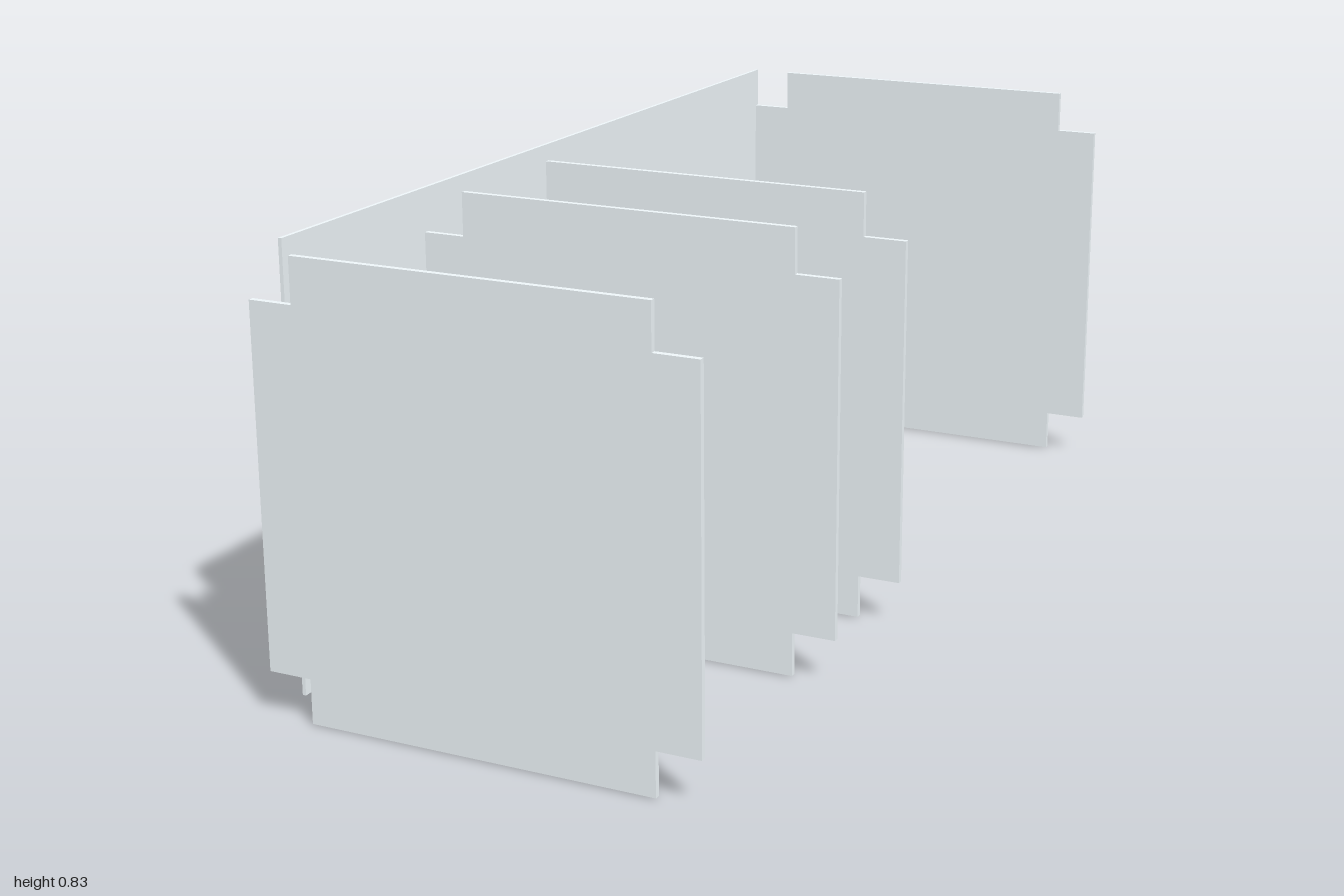
import * as THREE from 'three';

const THICK = 0.011;
const material = new THREE.MeshStandardMaterial({ color: 0xedf5f8, flatShading: true });

// Square plate with a square notch cut from every corner
function notchedPlate(half, inner) {
  const points = [];
  for (let i = 0; i < 4; i++) {
    const c = Math.round(Math.cos(i * Math.PI / 2));
    const s = Math.round(Math.sin(i * Math.PI / 2));
    for (const [x, y] of [[half, -inner], [half, inner], [inner, inner]]) {
      points.push(new THREE.Vector2(x * c - y * s, x * s + y * c));
    }
  }
  const geometry = new THREE.ExtrudeGeometry(new THREE.Shape(points), { depth: THICK, bevelEnabled: false });
  return geometry.translate(0, 0, -THICK / 2);
}

export function createModel() {
  const model = new THREE.Group();
  model.name = 'panelAssembly';

  // Four cross panels, front to back
  const plate = notchedPlate(0.414, 0.331);
  const panels = { frontPanel: 0.9945, frontDivider: 0.457, middleDivider: 0.148, backPanel: -0.9945 };
  for (const [name, z] of Object.entries(panels)) {
    const panel = new THREE.Mesh(plate, material);
    panel.name = name;
    panel.position.set(0.003, 0.416, z);
    model.add(panel);
  }

  // Long wall on the right, stopping short of the front panel
  const zBack = -1, zFront = 0.903;
  const wall = new THREE.Mesh(new THREE.BoxGeometry(0.007, 0.83, zFront - zBack), material);
  wall.name = 'sideWall';
  wall.position.set(-0.4135, 0.415, (zFront + zBack) / 2);
  model.add(wall);

  return model;
}
